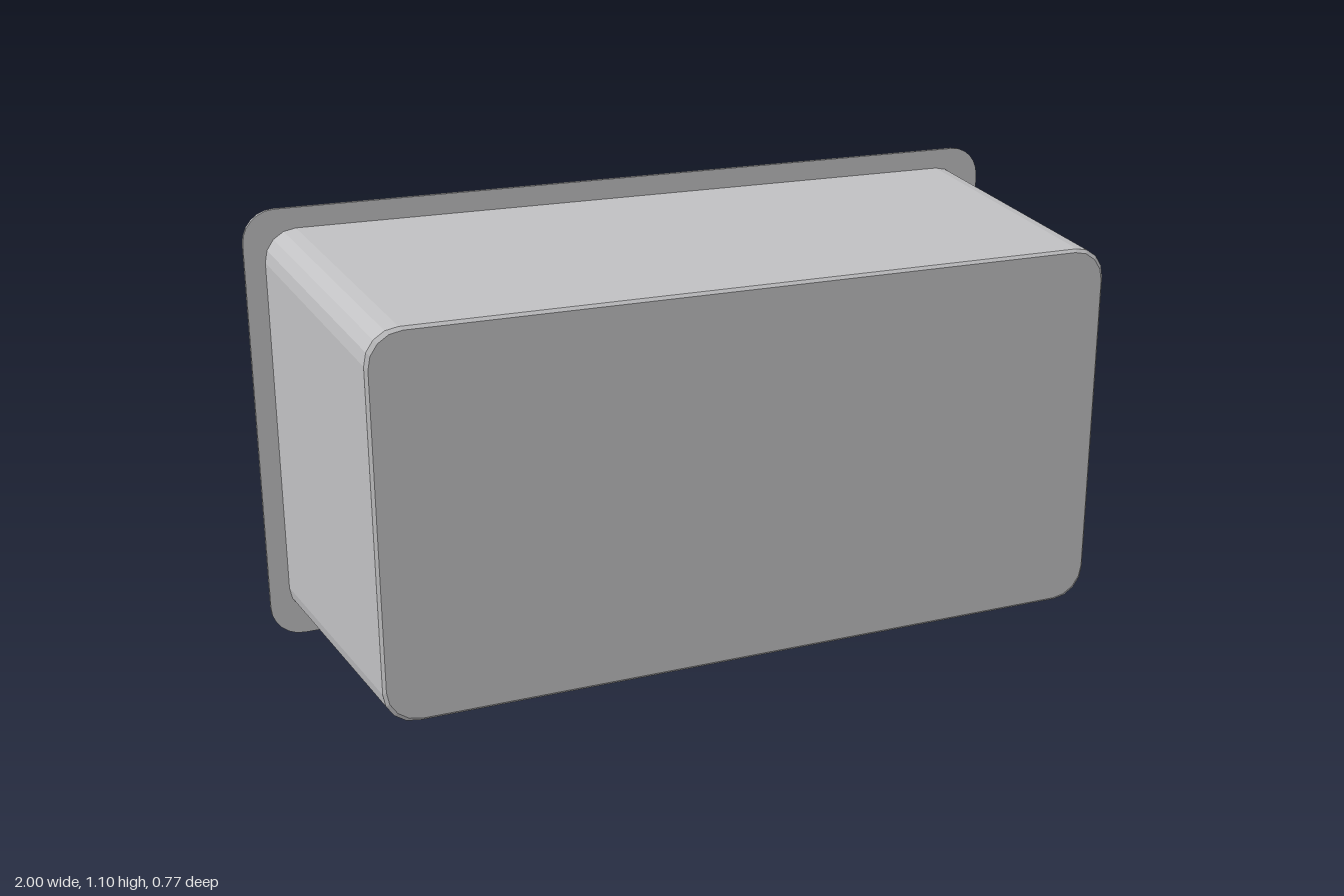
import * as THREE from 'three';

const mat = (name, color, side = THREE.FrontSide) => {
  const m = new THREE.MeshStandardMaterial({ color, side });
  m.name = name;
  return m;
};

// Joins rings of points (counter-clockwise seen from the far end) into a faceted skin
function loft(rings, capStart, capEnd) {
  const p = [];
  const tri = (...pts) => pts.forEach((v) => p.push(v.x, v.y, v.z));
  const n = rings[0].length;
  for (let i = 0; i < rings.length - 1; i++) {
    for (let j = 0; j < n; j++) {
      const k = (j + 1) % n;
      const a = rings[i][j], b = rings[i][k], c = rings[i + 1][k], d = rings[i + 1][j];
      tri(a, b, c);
      tri(a, c, d);
    }
  }
  const first = rings[0], last = rings[rings.length - 1];
  for (let j = 1; j < n - 1; j++) {
    if (capStart) tri(first[0], first[j + 1], first[j]);
    if (capEnd) tri(last[0], last[j], last[j + 1]);
  }
  const g = new THREE.BufferGeometry();
  g.setAttribute('position', new THREE.Float32BufferAttribute(p, 3));
  g.computeVertexNormals();
  return g;
}

// Outline of a rounded rectangle centred on x = 0, y = cy
function roundRect(hw, hh, r, cy, steps = 4) {
  const pts = [];
  [[1, 1], [-1, 1], [-1, -1], [1, -1]].forEach(([sx, sy], q) => {
    for (let i = 0; i <= steps; i++) {
      const a = (q + i / steps) * Math.PI / 2;
      pts.push(new THREE.Vector2(sx * (hw - r) + r * Math.cos(a), cy + sy * (hh - r) + r * Math.sin(a)));
    }
  });
  return pts;
}

export function createModel() {
  const model = new THREE.Group();
  model.name = 'packagedToyCar';
  const tray = mat('tray grey', 0xc0c0c2, THREE.DoubleSide);
  const paint = mat('body light grey', 0xcecece);
  const dark = mat('dark rubber', 0x3c3c46);
  const olive = mat('olive base', 0x80801c);

  const add = (name, geo, material, x = 0, y = 0, z = 0, parent = model) => {
    const m = new THREE.Mesh(geo, material);
    m.name = name;
    m.position.set(x, y, z);
    parent.add(m);
    return m;
  };

  // Tapered tray, closed at the front and open at the back
  const trayRings = [
    [0.95, 0.5, -0.38],
    [0.905, 0.455, 0.378],
    [0.898, 0.448, 0.385],
  ].map(([hw, hh, z]) => roundRect(hw, hh, 0.078, 0.55).map((v) => new THREE.Vector3(v.x, v.y, z)));
  add('tray', loft(trayRings, false, true), tray);

  // Flat flange around the opening
  const rim = new THREE.Shape(roundRect(1, 0.55, 0.08, 0.55, 6));
  rim.holes.push(new THREE.Path(roundRect(0.95, 0.5, 0.078, 0.55)));
  add('flange', new THREE.ExtrudeGeometry(rim, { depth: 0.01, bevelEnabled: false }), tray, 0, 0, -0.385);

  const car = new THREE.Group();
  car.name = 'toyCar';
  model.add(car);

  // Body: stations of [x, half width, top height]
  const base = 0.2;
  const stations = [
    [-0.76, 0.14, 0.285], [-0.58, 0.175, 0.325], [-0.35, 0.2, 0.365],
    [0, 0.21, 0.37], [0.48, 0.21, 0.37], [0.62, 0.19, 0.345], [0.76, 0.15, 0.3],
  ];
  const section = [[0, -1], [0, 1], [0.5, 1], [0.82, 0.94], [1, 0.78], [1, -0.78], [0.82, -0.94], [0.5, -1]].reverse();
  const bodyRings = stations.map(([x, w, top]) =>
    section.map(([h, s]) => new THREE.Vector3(x, base + h * (top - base), s * w)));
  // Put the ring in the y-to-z turning direction
  bodyRings.forEach((r) => r.reverse());
  const fixed = bodyRings.map((r) => r.slice().reverse());
  add('body', loft(fixed, true, true), paint, 0, 0, 0, car);

  // Underside plates
  const floor = new THREE.Shape([
    ...stations.map(([x, w]) => new THREE.Vector2(x, -w)),
    ...stations.slice().reverse().map(([x, w]) => new THREE.Vector2(x, w)),
  ]);
  const floorGeo = new THREE.ExtrudeGeometry(floor, { depth: 0.008, bevelEnabled: false });
  floorGeo.rotateX(Math.PI / 2);
  add('basePlate', floorGeo, olive, 0, base, 0, car);
  add('chassis', new THREE.BoxGeometry(1.2, 0.02, 0.24), dark, 0, base - 0.014, 0, car);

  // Cabin with sloping sides and a softened roof edge: [x0, x1, half depth, y]
  const cabinRings = [
    [0.22, 0.48, 0.19, 0.35], [0.302, 0.418, 0.172, 0.51], [0.315, 0.405, 0.16, 0.526],
  ].map(([x0, x1, w, y]) => [[x0, w], [x1, w], [x1, -w], [x0, -w]]
    .map(([x, z]) => new THREE.Vector3(x, y, z)));
  add('cabin', loft(cabinRings, false, true), paint, 0, 0, 0, car);

  // Engine block
  add('engine', new THREE.BoxGeometry(0.15, 0.16, 0.175), dark, -0.267, 0.427, 0, car);

  // Bumper bars at both ends
  for (const s of [-1, 1]) {
    const bar = new THREE.CylinderGeometry(0.03, 0.03, 0.42, 8).rotateX(Math.PI / 2);
    add(s < 0 ? 'noseBumper' : 'tailBumper', bar, dark, s * 0.775, 0.25, 0, car);
  }

  // Axles and wheels: [name, x, centre height, radius]
  for (const [name, x, y, r] of [['small', -0.578, 0.25, 0.164], ['large', 0.59, 0.27, 0.184]]) {
    add(name + 'Axle', new THREE.CylinderGeometry(0.025, 0.025, 0.6, 8).rotateX(Math.PI / 2), dark, x, y, 0, car);
    for (const s of [-1, 1]) {
      const wheel = new THREE.Group();
      wheel.name = name + (s < 0 ? 'BackWheel' : 'FrontWheel');
      wheel.position.set(x, y, s * 0.305);
      wheel.rotation.x = s * Math.PI / 2;
      car.add(wheel);
      const profile = [[0, -0.04], [r * 0.85, -0.04], [r, -0.024], [r, 0.024], [r * 0.85, 0.04], [0, 0.04]]
        .map(([a, b]) => new THREE.Vector2(a, b));
      const tyre = new THREE.LatheGeometry(profile, 14).toNonIndexed();
      tyre.computeVertexNormals();
      add('tyre', tyre, dark, 0, 0, 0, wheel);
      add('rim', new THREE.CylinderGeometry(r * 0.62, r * 0.62, 0.008, 14), paint, 0, 0.043, 0, wheel);
      add('hub', new THREE.CylinderGeometry(r * 0.31, r * 0.31, 0.008, 10), dark, 0, 0.05, 0, wheel);
    }
  }
  return model;
}
